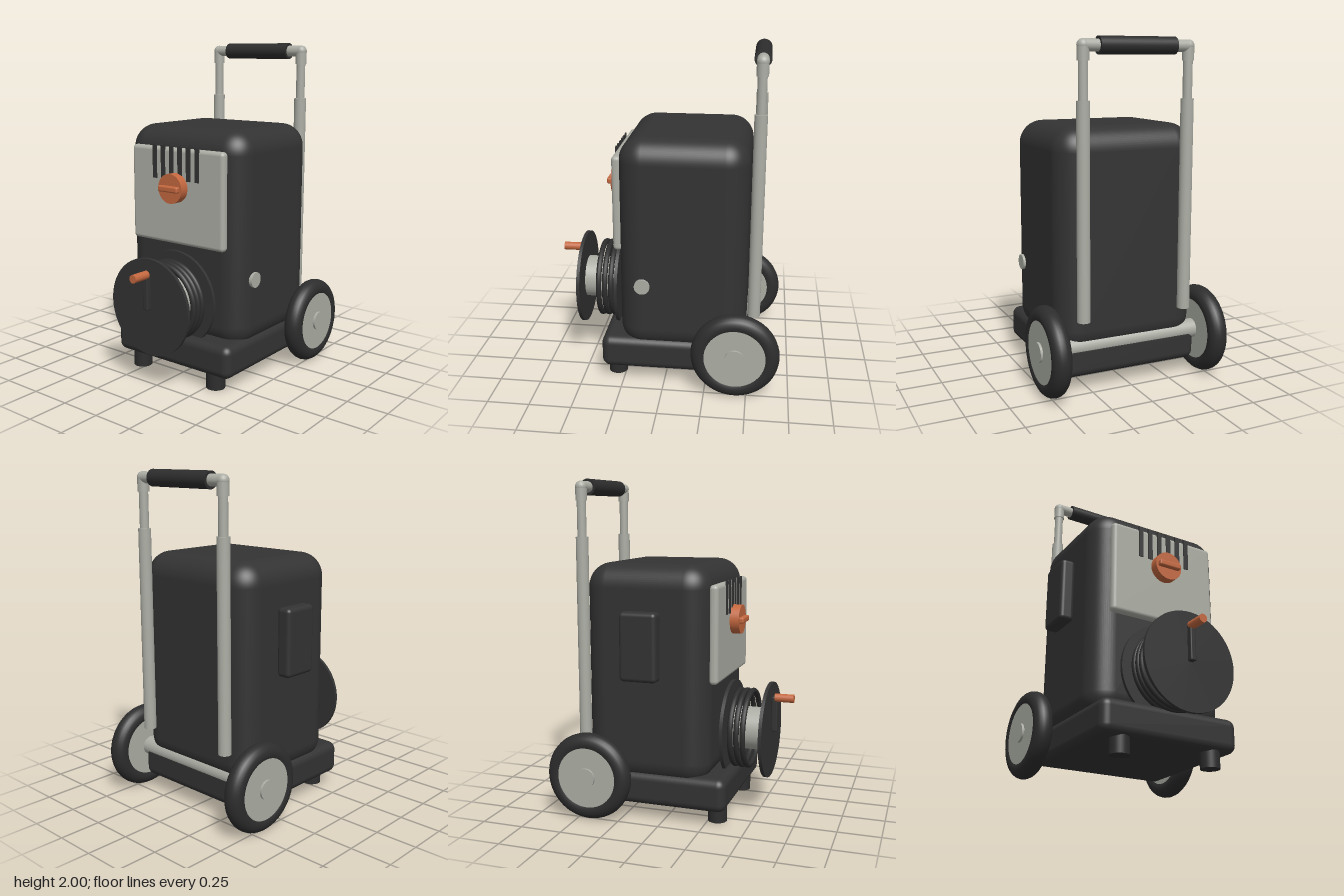
import * as THREE from 'three';
import { RoundedBoxGeometry } from 'three/addons/geometries/RoundedBoxGeometry.js';

const mat = (name, color) => {
  const m = new THREE.MeshStandardMaterial({ color });
  m.name = name;
  return m;
};

export function createModel() {
  const group = new THREE.Group();
  const dark = mat('dark plastic', 0x333333);
  const rubber = mat('black rubber', 0x2d2d2d);
  const metal = mat('light grey metal', 0xacaea5);
  const orange = mat('orange plastic', 0xc4683f);

  const add = (name, geo, material, x, y, z, parent = group) => {
    const m = new THREE.Mesh(geo, material);
    m.name = name;
    m.position.set(x, y, z);
    parent.add(m);
    return m;
  };
  const rbox = (w, h, d, r, seg = 6) => new RoundedBoxGeometry(w, h, d, seg, r);
  // cylinder along the chosen axis
  const cyl = (r, len, axis = 'y', sides = 32) => {
    const g = new THREE.CylinderGeometry(r, r, len, sides);
    if (axis === 'x') g.rotateZ(Math.PI / 2);
    if (axis === 'z') g.rotateX(Math.PI / 2);
    return g;
  };

  // Housing and base
  add('body', rbox(0.87, 1.295, 0.755, 0.14, 10), dark, 0, 0.8675, -0.1075);
  add('base', rbox(0.87, 0.2, 0.865, 0.05), dark, 0, 0.19, -0.0525);

  // Front panel with vent slots
  add('frontPanel', rbox(0.69, 0.575, 0.055, 0.024), metal, 0, 1.1125, 0.283);
  for (let i = 0; i < 6; i++) {
    add('ventSlot', new THREE.BoxGeometry(0.03, 0.2, 0.008), dark, -0.159 + i * 0.0636, 1.312, 0.312);
  }

  // Control knob
  const knob = new THREE.Group();
  knob.name = 'controlKnob';
  knob.position.set(0, 1.168, 0);
  add('knobDisc', cyl(0.088, 0.058, 'z', 40), orange, 0, 0, 0.337, knob);
  add('knobGrip', rbox(0.145, 0.036, 0.04, 0.01, 3), orange, 0, 0, 0.372, knob);
  group.add(knob);

  // Side box on the right, side button on the left
  add('sideBox', rbox(0.09, 0.4, 0.225, 0.025), dark, -0.477, 1.05, -0.112);
  add('sideButton', cyl(0.046, 0.04, 'x'), metal, 0.43, 0.645, 0.125);

  // Hose reel
  const reel = new THREE.Group();
  reel.name = 'hoseReel';
  reel.position.set(0, 0.5, 0);
  add('rearFlange', cyl(0.29, 0.02, 'z', 64), dark, 0, 0, 0.315, reel);
  add('frontFlange', cyl(0.29, 0.02, 'z', 64), dark, 0, 0, 0.548, reel);
  add('drum', cyl(0.13, 0.23, 'z', 48), metal, 0, 0, 0.43, reel);
  for (const z of [0.355, 0.393, 0.431]) {
    add('hoseCoil', new THREE.TorusGeometry(0.228, 0.017, 12, 64), rubber, 0, 0, z, reel);
  }
  add('crankArm', rbox(0.036, 0.215, 0.036, 0.008, 3), dark, 0, 0.098, 0.575, reel);
  add('crankHandle', cyl(0.025, 0.115, 'z', 24), orange, 0, 0.2, 0.633, reel);
  group.add(reel);

  // Axle runs through both wheels and shows as hub caps
  add('axle', cyl(0.057, 1.12, 'x'), metal, 0, 0.265, -0.43);

  for (const s of [-1, 1]) {
    const wheel = new THREE.Group();
    wheel.name = s > 0 ? 'leftWheel' : 'rightWheel';
    wheel.position.set(s * 0.495, 0.262, -0.43);
    const tyre = new THREE.TorusGeometry(0.204, 0.057, 20, 64).rotateY(Math.PI / 2);
    add('tyre', tyre, rubber, 0, 0, 0, wheel);
    add('wheelDisc', cyl(0.181, 0.102, 'x', 48), metal, 0, 0, 0, wheel);
    group.add(wheel);

    add('foot', cyl(0.057, 0.12), rubber, s * 0.29, 0.06, 0.302);

    // Telescopic handle post with elbow
    add('outerPost', cyl(0.037, 1.22), metal, s * 0.32, 1.05, -0.53);
    add('innerPost', cyl(0.027, 0.3), metal, s * 0.32, 1.79, -0.53);
    add('elbowSleeve', cyl(0.034, 0.08), metal, s * 0.32, 1.91, -0.53);
    add('elbowBall', new THREE.SphereGeometry(0.035, 24, 16), metal, s * 0.32, 1.95, -0.53);
  }

  // Handle crossbar and grip
  add('crossbar', cyl(0.034, 0.64, 'x'), metal, 0, 1.95, -0.53);
  add('grip', cyl(0.049, 0.465, 'x'), rubber, 0, 1.95, -0.53);

  return group;
}
